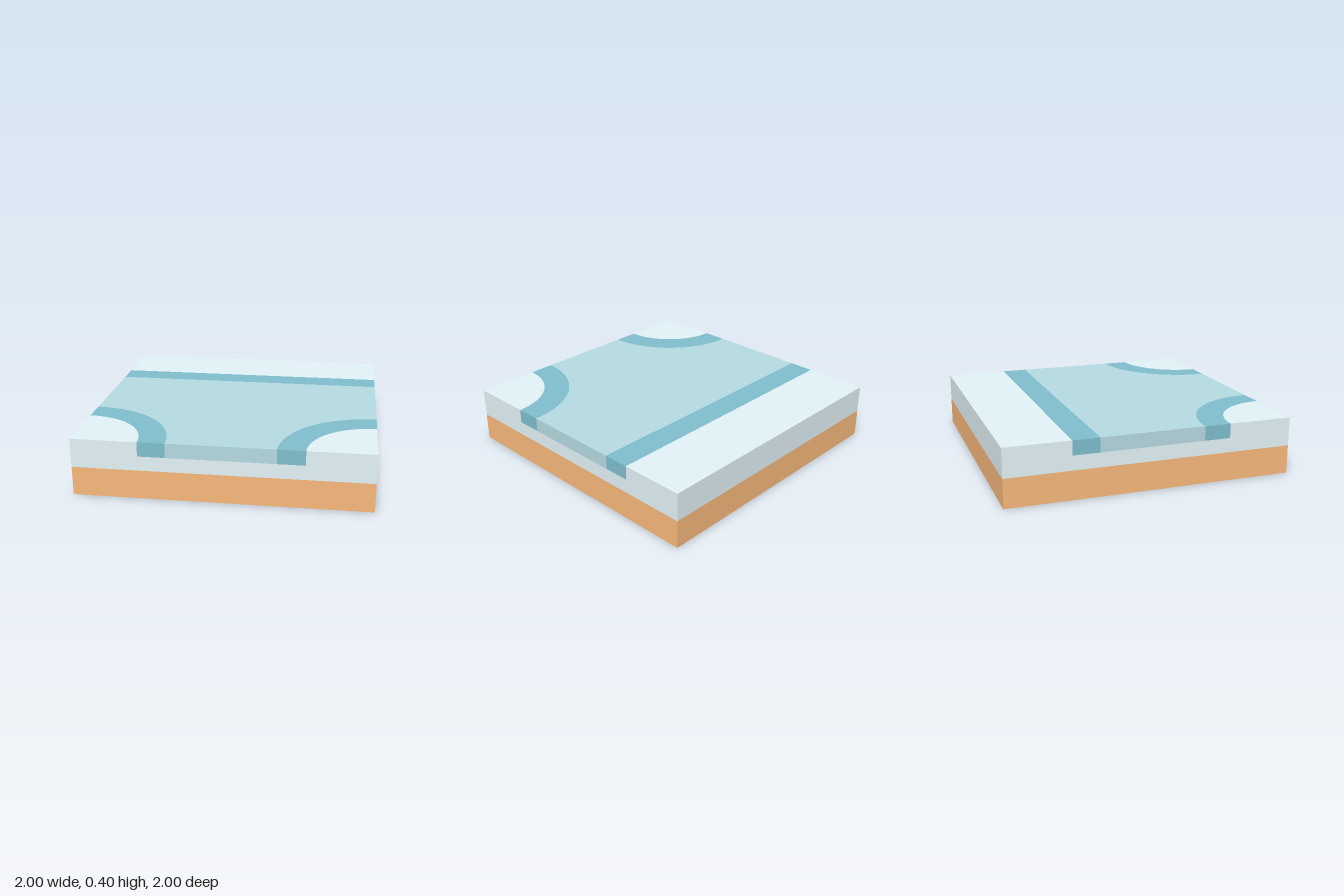
import * as THREE from 'three';

const SNOW = 0xe3f3f8, ICE = 0xb6dae2, BANK = 0x80bece, EARTH = 0xf8b97c;
const INNER = 0.45, OUTER = 0.635; // distances of the bank's two edges from the tile border

export function createModel() {
  const group = new THREE.Group();
  const materials = {};
  const add = (name, geometry, color) => {
    materials[color] ??= new THREE.MeshStandardMaterial({ color });
    const mesh = new THREE.Mesh(geometry, materials[color]);
    mesh.name = name;
    group.add(mesh);
  };

  // Box spanning the full width, given its y and z ranges
  const slab = (name, y0, y1, z0, z1, color) =>
    add(name, new THREE.BoxGeometry(2, y1 - y0, z1 - z0)
      .translate(0, (y0 + y1) / 2, (z0 + z1) / 2), color);

  // Plan outline (shape y = -z) raised into the top layer
  const inlay = (name, shape, color) =>
    add(name, new THREE.ExtrudeGeometry(shape, { depth: 0.1, bevelEnabled: false, curveSegments: 24 })
      .rotateX(-Math.PI / 2).translate(0, 0.3, 0), color);

  // Ground layers
  slab('earthBase', 0, 0.2, -1, 1, EARTH);
  slab('snowBed', 0.2, 0.3, -1, 1, SNOW);

  // Straight bank along the back
  slab('backSnow', 0.3, 0.4, -1, -1 + INNER, SNOW);
  slab('backBank', 0.3, 0.4, -1 + INNER, -1 + OUTER, BANK);

  // Frozen channel with two rounded-out front corners
  const channel = new THREE.Shape();
  channel.moveTo(1, 1 - OUTER);
  channel.lineTo(-1, 1 - OUTER);
  channel.absarc(-1, -1, OUTER, Math.PI / 2, 0, true);
  channel.absarc(1, -1, OUTER, Math.PI, Math.PI / 2, true);
  inlay('iceChannel', channel, ICE);

  // Curved banks and snow at the front corners
  for (const [side, x, start] of [['right', -1, 0], ['left', 1, Math.PI / 2]]) {
    const end = start + Math.PI / 2;
    const bank = new THREE.Shape();
    bank.absarc(x, -1, OUTER, start, end, false);
    bank.absarc(x, -1, INNER, end, start, true);
    inlay(side + 'CornerBank', bank, BANK);

    const snow = new THREE.Shape();
    snow.moveTo(x, -1);
    snow.lineTo(x + INNER * Math.cos(start), -1 + INNER * Math.sin(start));
    snow.absarc(x, -1, INNER, start, end, false);
    inlay(side + 'CornerSnow', snow, SNOW);
  }
  return group;
}
